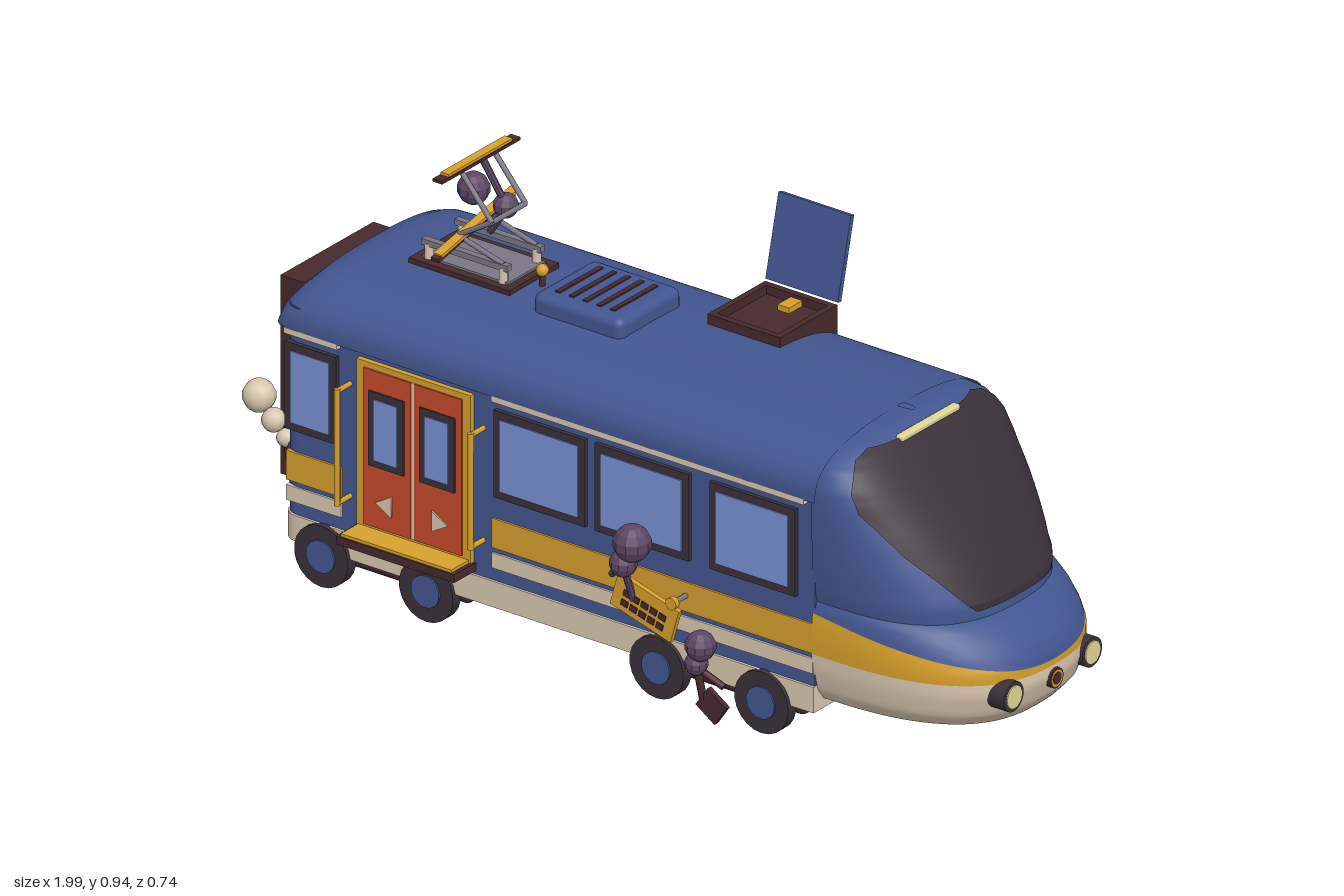
import * as THREE from 'three';
import { RoundedBoxGeometry } from 'three/addons/geometries/RoundedBoxGeometry.js';
import { ParametricGeometry } from 'three/addons/geometries/ParametricGeometry.js';

const mat = (name, color, extra) => Object.assign(new THREE.MeshStandardMaterial({ color, ...extra }), { name });

export function createModel() {
  const blue = mat('blue paint', 0x425690, { side: THREE.DoubleSide });
  const dark = mat('dark brown', 0x46292d), gold = mat('gold', 0xd6a02c);
  const cream = mat('cream', 0xdac8b0, { side: THREE.DoubleSide }), red = mat('door red', 0xc94a2b);
  const pane = mat('window blue', 0x7892d6), glass = mat('dark glass', 0x3a3039);
  const plum = mat('plum', 0x5d4664, { flatShading: true }), steel = mat('steel', 0x7b7684);
  const lamp = mat('lamp glow', 0xe0d795);

  const root = new THREE.Group();
  root.name = 'train';
  const train = new THREE.Group();
  train.name = 'railcar';
  train.position.z = -0.012;
  root.add(train);

  const add = (name, geo, m, x = 0, y = 0, z = 0) => {
    const mesh = new THREE.Mesh(geo, m);
    mesh.name = name;
    mesh.position.set(x, y, z);
    train.add(mesh);
    return mesh;
  };
  // box given by its x, y and z ranges
  const box = (name, m, x0, x1, y0, y1, z0, z1) =>
    add(name, new THREE.BoxGeometry(x1 - x0, y1 - y0, Math.abs(z1 - z0)), m, (x0 + x1) / 2, (y0 + y1) / 2, (z0 + z1) / 2);
  const rod = (name, m, a, b, r) => {
    const p = new THREE.Vector3(...a), d = new THREE.Vector3(...b).sub(p);
    const mesh = add(name, new THREE.CylinderGeometry(r, r, d.length(), 8), m);
    mesh.position.copy(p).addScaledVector(d, 0.5);
    mesh.quaternion.setFromUnitVectors(new THREE.Vector3(0, 1, 0), d.normalize());
  };
  const ball = (name, m, r, x, y, z) => add(name, new THREE.SphereGeometry(r, 10, 7), m, x, y, z);
  const disc = (name, m, r, len, axis, x, y, z) => {
    const g = new THREE.CylinderGeometry(r, r, len, 22);
    if (axis === 'x') g.rotateZ(Math.PI / 2); else g.rotateX(Math.PI / 2);
    return add(name, g, m, x, y, z);
  };
  const surface = (name, m, fn, nu, nv) => {
    const g = new ParametricGeometry(fn, nu, nv);
    g.computeVertexNormals();
    return add(name, g, m);
  };

  // ---- main body: rounded plan extruded upward
  const slab = (name, m, hw, x0, x1, y0, y1, r) => {
    const s = new THREE.Shape();
    s.moveTo(x1, -hw).lineTo(x1, hw).lineTo(x0 + r, hw).quadraticCurveTo(x0, hw, x0, hw - r)
      .lineTo(x0, r - hw).quadraticCurveTo(x0, -hw, x0 + r, -hw);
    const g = new THREE.ExtrudeGeometry(s, { depth: y1 - y0, bevelEnabled: false });
    add(name, g.rotateX(-Math.PI / 2), m, 0, y0, 0);
  };
  slab('bodyWalls', blue, 0.281, -0.82, 0.575, 0.14, 0.62, 0.04);
  slab('skirt', cream, 0.287, -0.825, 0.575, 0.08, 0.14, 0.05);

  // ---- roof: rounded arch swept along x, dipping at the rear
  const N = 2.6, pw = t => Math.sign(t) * Math.abs(t) ** (2 / N);
  const at = (keys, k) => {
    const i = Math.min(Math.floor(k), keys.length - 2), f = k - i;
    return keys[i].map((v, c) => v + (keys[i + 1][c] - v) * f);
  };
  const indexOf = (keys, y) => {
    let i = 0;
    while (i < keys.length - 2 && keys[i + 1][0] < y) i++;
    return i + (y - keys[i][0]) / (keys[i + 1][0] - keys[i][0]);
  };
  const arch = [[-0.8, 0.0, 0.27], [-0.835, 0.0, 0.28], [-0.835, 0.04, 0.28], [-0.825, 0.075, 0.288],
    [-0.8, 0.1, 0.293], [-0.765, 0.115, 0.295], [-0.72, 0.118, 0.295], [0.585, 0.118, 0.295]];
  surface('roof', blue, (u, v, p) => {
    const [x, h, w] = at(arch, v * 7), a = Math.PI * u;
    p.set(x, 0.572 + h * pw(Math.sin(a)), -w * pw(Math.cos(a)));
  }, 36, 7);

  // ---- nose: rounded plan outlines [y, front x, half width]
  const hood = [[0.078, 0.58, 0.01], [0.08, 0.88, 0.2], [0.1, 0.945, 0.25], [0.13, 0.972, 0.272], [0.18, 0.99, 0.284],
    [0.23, 0.988, 0.288], [0.26, 0.972, 0.288], [0.29, 0.945, 0.286], [0.32, 0.903, 0.282], [0.345, 0.83, 0.27],
    [0.36, 0.72, 0.24], [0.368, 0.58, 0.1]];
  const cab = [[0.32, 0.895, 0.272], [0.36, 0.89, 0.279], [0.42, 0.855, 0.284], [0.5, 0.8, 0.287], [0.57, 0.745, 0.287],
    [0.6, 0.72, 0.284], [0.634, 0.69, 0.268], [0.656, 0.667, 0.235], [0.67, 0.652, 0.2], [0.683, 0.637, 0.12], [0.69, 0.622, 0.01]];
  const skin = (name, m, keys, lo, hi, rows) => surface(name, m, (u, v, p) => {
    const a = Math.PI * (0.5 - u), f = Math.abs(1 - 2 * u) ** 1.3;
    const k0 = indexOf(keys, lo(f)), k1 = indexOf(keys, hi(f));
    const [y, xf, w] = at(keys, k0 + (k1 - k0) * v);
    p.set(0.57 + (xf - 0.57) * pw(Math.cos(a)), y, w * pw(Math.sin(a)));
  }, 48, rows);
  const goldLow = f => 0.205 + 0.012 * f, goldTop = f => 0.218 + 0.092 * f;
  skin('noseLower', cream, hood, () => 0.078, goldLow, 18);
  skin('noseBand', Object.assign(gold), hood, goldLow, goldTop, 5);
  skin('noseHood', blue, hood, goldTop, () => 0.368, 18);
  skin('cab', blue, cab, () => 0.32, () => 0.69, 30);

  // ---- windshield following the cab
  const glassEdge = [[0.342, 0.125], [0.36, 0.145], [0.47, 0.222], [0.56, 0.263], [0.6, 0.262], [0.635, 0.24], [0.655, 0.215], [0.668, 0.175]];
  surface('windshield', glass, (u, v, p) => {
    const [y, zw] = at(glassEdge, v * 7), [, xf, w] = at(cab, indexOf(cab, y)), z = zw * (1 - 2 * u);
    p.set(0.577 + (xf - 0.57) * (1 - Math.min(1, Math.abs(z) / w) ** N) ** (1 / N), y + 0.002, z * 1.01);
  }, 36, 28);
  add('cabLight', new RoundedBoxGeometry(0.02, 0.014, 0.2, 2, 0.005), lamp, 0.657, 0.669, 0);
  for (const s of [1, -1]) {
    disc('headlightRim', glass, 0.034, 0.05, 'x', 0.96, 0.18, s * 0.135);
    disc('headlightLens', lamp, 0.026, 0.054, 'x', 0.961, 0.18, s * 0.135);
    disc('tailLight', dark, 0.025, 0.03, 'x', -0.83, 0.25, s * 0.215);
    disc('tailLens', gold, 0.018, 0.034, 'x', -0.831, 0.25, s * 0.215);
  }
  disc('couplerRim', dark, 0.023, 0.03, 'x', 0.98, 0.175, 0);
  disc('couplerRing', gold, 0.019, 0.032, 'x', 0.98, 0.175, 0);
  disc('couplerCore', dark, 0.014, 0.034, 'x', 0.98, 0.175, 0);

  // ---- both sides: windows, stripes, doors, steps, rails
  for (const s of [1, -1]) {
    const plate = (name, m, x0, x1, y0, y1, out) => box(name, m, x0, x1, y0, y1, s * 0.275, s * (0.281 + out));
    const windows = [[-0.81, -0.675], [-0.262, -0.022], [0.305, 0.53]];
    if (s > 0) windows.push([0.003, 0.25]);
    for (const [a, b] of windows) {
      plate('windowFrame', glass, a, b, 0.338, 0.54, 0.01);
      plate('windowPane', pane, a + 0.017, b - 0.017, 0.356, 0.522, 0.013);
    }
    const runs = s > 0 ? [[-0.81, -0.665], [-0.27, 0.572]] : [[-0.81, -0.665], [-0.27, 0.0], [0.27, 0.572]];
    for (const [a, b] of runs) {
      plate('goldStripe', gold, a, b, 0.217, 0.285, 0.005);
      plate('creamStripe', cream, a, b, 0.17, 0.205, 0.005);
    }
    for (const [a, b] of [[-0.81, -0.67], [-0.265, 0.555]]) plate('gutter', cream, a, b, 0.56, 0.573, 0.014);

    plate('doorFrame', gold, -0.62, -0.32, 0.166, 0.556, 0.012);
    plate('doorSeam', cream, -0.474, -0.466, 0.18, 0.542, 0.015);
    for (const d of [1, -1]) {
      const c = -0.47 + d * 0.067;
      plate('doorLeaf', red, c - 0.062, c + 0.062, 0.18, 0.542, 0.016);
      plate('doorWindowFrame', glass, c - 0.046, c + 0.046, 0.322, 0.495, 0.02);
      plate('doorWindow', pane, c - 0.031, c + 0.031, 0.338, 0.479, 0.023);
      const arrow = new THREE.CylinderGeometry(0.028, 0.028, 0.008, 3, 1, false, d * Math.PI / 2);
      add('doorArrow', arrow.rotateX(Math.PI / 2), cream, c, 0.24, s * 0.297);
      const rx = -0.47 + d * 0.175;
      rod('handrail', gold, [rx, 0.22, s * 0.326], [rx, 0.49, s * 0.326], 0.007);
      for (const y of [0.225, 0.485]) rod('railMount', gold, [rx, y, s * 0.275], [rx, y, s * 0.326], 0.006);
    }
    box('step', dark, -0.625, -0.315, 0.148, 0.167, s * 0.27, s * 0.357);
    box('stepTread', gold, -0.615, -0.325, 0.167, 0.174, s * 0.275, s * 0.353);

    for (const x of [-0.71, -0.435, 0.17, 0.445]) {
      disc('wheel', glass, 0.071, 0.028, 'z', x, 0.071, s * 0.282);
      disc('wheelHub', blue, 0.037, 0.036, 'z', x, 0.071, s * 0.282);
    }
  }
  for (const x of [-0.572, 0.308])
    add('bogie', new RoundedBoxGeometry(0.43, 0.05, 0.5, 2, 0.015), dark, x, 0.065, 0);

  // ---- rear gangway
  for (const s of [1, -1]) box('gangwayWall', dark, -0.92, -0.81, 0.16, 0.61, s * 0.115, s * 0.16);
  box('gangwayTop', dark, -0.92, -0.81, 0.555, 0.61, -0.115, 0.115);
  box('gangwaySill', dark, -0.92, -0.81, 0.15, 0.175, -0.16, 0.16);
  box('rearDoor', dark, -0.86, -0.81, 0.175, 0.555, -0.115, 0.115);
  box('rearDoorWindow', pane, -0.865, -0.855, 0.32, 0.51, -0.07, 0.07);
  box('rearPlatform', gold, -0.935, -0.87, 0.175, 0.19, -0.06, 0.1);

  // ---- rear hanging figure
  ball('rearFigureHead', cream, 0.037, -0.957, 0.33, 0.185).material = cream;
  ball('rearFigureBody', cream, 0.027, -0.915, 0.287, 0.19);
  ball('rearFigureHip', cream, 0.02, -0.888, 0.252, 0.185);
  rod('rearFigureArm', dark, [-0.91, 0.29, 0.19], [-0.85, 0.25, 0.15], 0.007);
  rod('rearFigureLeg', dark, [-0.888, 0.25, 0.185], [-0.875, 0.12, 0.17], 0.007);

  // ---- roof vent unit
  add('ventUnit', new RoundedBoxGeometry(0.235, 0.06, 0.215, 3, 0.02), blue, -0.185, 0.7, 0);
  for (let i = -2; i <= 2; i++) box('ventSlot', dark, -0.192 + i * 0.036, -0.18 + i * 0.036, 0.728, 0.733, -0.075, 0.075);
  rod('hornPost', dark, [-0.355, 0.685, 0], [-0.355, 0.735, 0], 0.007);
  ball('hornTop', gold, 0.014, -0.355, 0.725, 0);

  // ---- pantograph
  box('pantographBase', dark, -0.645, -0.38, 0.68, 0.7, -0.09, 0.08);
  box('pantographPlate', steel, -0.625, -0.4, 0.7, 0.705, -0.07, 0.06);
  for (const z of [-0.06, 0.055]) {
    for (const x of [-0.61, -0.415]) rod('insulator', cream, [x, 0.7, z], [x, 0.735, z], 0.01);
    box('pantographRail', steel, -0.625, -0.4, 0.73, 0.744, z - 0.008, z + 0.008);
    rod('lowerArm', steel, [-0.415, 0.742, z], [-0.535, 0.775, z], 0.006);
    rod('middleArm', steel, [-0.535, 0.775, z], [-0.445, 0.83, z], 0.006);
    rod('upperArm', steel, [-0.445, 0.83, z], [-0.53, 0.93, z], 0.006);
  }
  rod('armBrace', steel, [-0.445, 0.83, -0.06], [-0.445, 0.83, 0.055], 0.006);
  box('contactBar', dark, -0.54, -0.515, 0.928, 0.935, -0.135, 0.135);
  box('contactStrip', gold, -0.538, -0.517, 0.935, 0.941, -0.11, 0.11);
  const spare = box('tiltedBar', dark, -0.535, -0.515, 0.777, 0.786, -0.12, 0.15);
  const strip = box('tiltedStrip', gold, -0.536, -0.514, 0.786, 0.792, -0.13, 0.14);
  spare.rotation.x = strip.rotation.x = 0.2;
  ball('roofFigureHead', plum, 0.036, -0.52, 0.875, 0.02);
  ball('roofFigureBody', plum, 0.028, -0.485, 0.82, -0.045);
  rod('roofFigureArm', plum, [-0.485, 0.83, -0.04], [-0.53, 0.93, -0.02], 0.008);
  rod('roofFigureLeg', plum, [-0.485, 0.81, -0.045], [-0.53, 0.745, -0.05], 0.008);

  // ---- open roof hatch
  for (const z of [[-0.262, -0.247], [-0.078, -0.063]]) box('hatchRim', dark, 0.03, 0.22, 0.63, 0.712, ...z);
  for (const x of [0.03, 0.205]) box('hatchRim', dark, x, x + 0.015, 0.63, 0.712, -0.25, -0.07);
  box('hatchFloor', dark, 0.04, 0.21, 0.64, 0.692, -0.25, -0.07);
  box('hatchLadder', gold, 0.11, 0.14, 0.69, 0.705, -0.245, -0.2);
  const lid = add('hatchLid', new THREE.BoxGeometry(0.19, 0.19, 0.012), blue, 0.125, 0.808, -0.291);
  lid.rotation.x = -0.24;
  box('hatchHandle', gold, 0.095, 0.155, 0.848, 0.856, -0.318, -0.305);

  // ---- climbing figures and loose panel on the left side
  ball('climberHead', plum, 0.042, 0.14, 0.368, 0.34);
  ball('climberBody', plum, 0.031, 0.11, 0.31, 0.331);
  rod('climberArm', plum, [0.11, 0.31, 0.33], [0.06, 0.26, 0.305], 0.008);
  rod('climberLeg', plum, [0.11, 0.3, 0.33], [0.12, 0.22, 0.31], 0.008);
  const panel = add('loosePanel', new THREE.BoxGeometry(0.165, 0.08, 0.012), gold, 0.15, 0.21, 0.306);
  panel.rotation.z = -0.28;
  for (let r = 0; r < 2; r++) for (let i = -2; i <= 2; i++) {
    const slot = new THREE.Mesh(new THREE.BoxGeometry(0.018, 0.014, 0.004), dark);
    slot.name = 'panelSlot';
    slot.position.set(i * 0.024, r * 0.024 - 0.018, 0.007);
    panel.add(slot);
  }
  rod('knobStem', steel, [0.24, 0.255, 0.28], [0.24, 0.255, 0.33], 0.006);
  disc('knob', gold, 0.014, 0.012, 'z', 0.24, 0.255, 0.333);
  ball('lowerClimberHead', plum, 0.034, 0.325, 0.187, 0.348);
  ball('lowerClimberBody', plum, 0.026, 0.31, 0.14, 0.343);
  rod('lowerClimberArm', plum, [0.31, 0.14, 0.34], [0.28, 0.17, 0.29], 0.008);
  rod('lowerClimberLeg', dark, [0.31, 0.13, 0.34], [0.32, 0.06, 0.333], 0.009);
  rod('lowerClimberLeg', dark, [0.31, 0.13, 0.34], [0.375, 0.1, 0.333], 0.008);
  add('toolPlate', new THREE.BoxGeometry(0.06, 0.055, 0.013), dark, 0.345, 0.048, 0.332).rotation.z = -0.6;
  return root;
}
